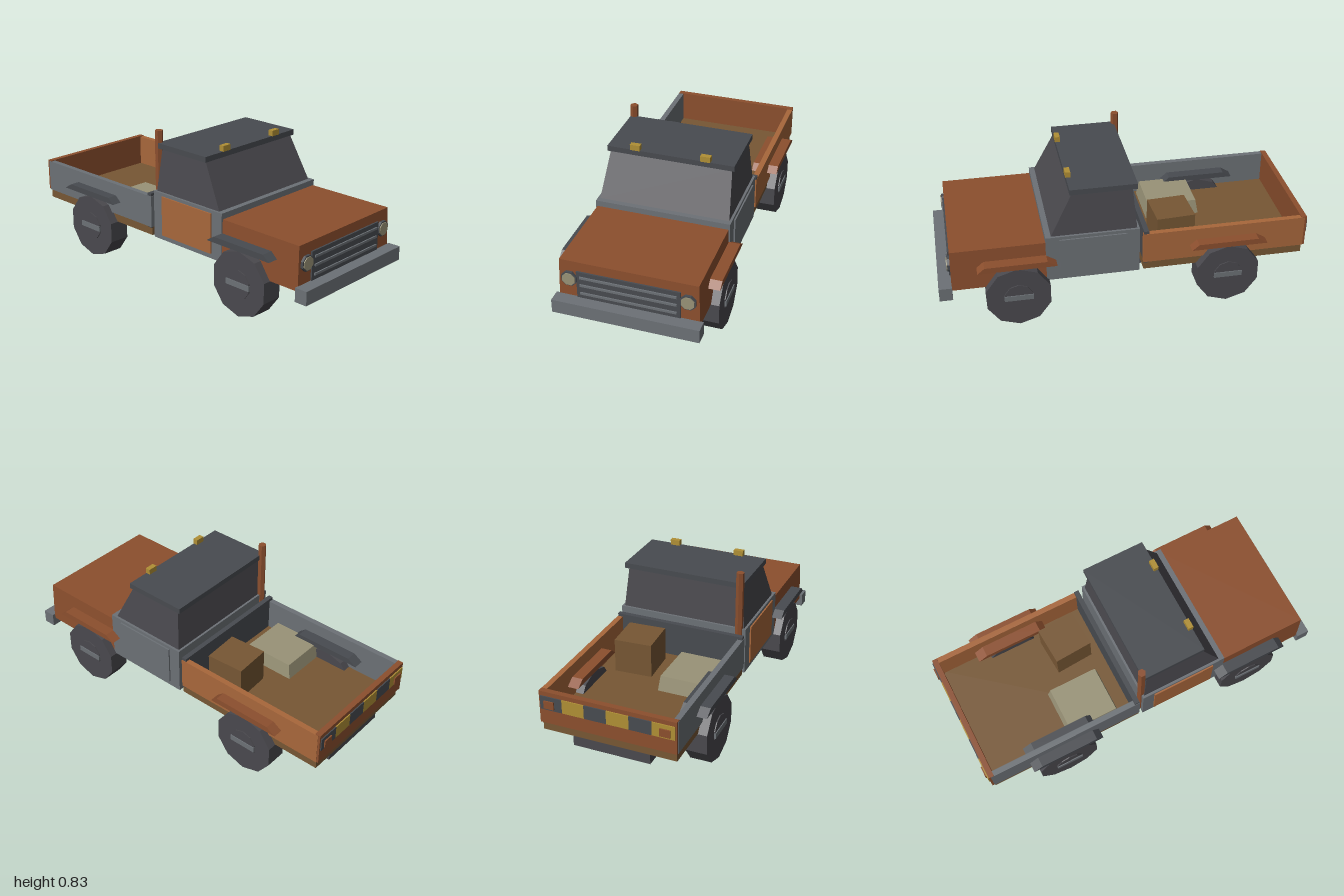
import * as THREE from 'three';

const material = (name, color) => {
  const m = new THREE.MeshStandardMaterial({ color, flatShading: true });
  m.name = name;
  return m;
};

export function createModel() {
  const truck = new THREE.Group();
  truck.name = 'pickupTruck';

  const dark = material('charcoal', 0x4a494e);
  const slate = material('slate', 0x484b50);
  const grey = material('steel grey', 0x6c7176);
  const rust = material('rust', 0x8c4f2e);
  const orange = material('faded orange', 0xa8673b);
  const brown = material('bed brown', 0x775734);
  const khaki = material('khaki', 0x999377);
  const yellow = material('amber', 0xb08f35);

  const add = (name, geometry, mat, x = 0, y = 0, z = 0) => {
    const mesh = new THREE.Mesh(geometry, mat);
    mesh.name = name;
    mesh.position.set(x, y, z);
    truck.add(mesh);
    return mesh;
  };
  // Box given by its extents on each axis
  const box = (name, mat, [x0, x1], [y0, y1], [z0, z1]) =>
    add(name, new THREE.BoxGeometry(x1 - x0, y1 - y0, z1 - z0), mat,
      (x0 + x1) / 2, (y0 + y1) / 2, (z0 + z1) / 2);
  // Tapered box: each end is [half width, back z, front z]
  const taper = (name, mat, [y0, y1], bottom, top, x = 0) => {
    const g = new THREE.BoxGeometry(2, 1, 2);
    const p = g.attributes.position;
    for (let i = 0; i < p.count; i++) {
      const [w, back, front] = p.getY(i) > 0 ? top : bottom;
      p.setXYZ(i, p.getX(i) * w, p.getY(i) > 0 ? y1 : y0, p.getZ(i) > 0 ? front : back);
    }
    g.computeVertexNormals();
    return add(name, g, mat, x);
  };
  // Cylinder lying along x or z
  const disc = (name, mat, axis, radius, length, sides, x, y, z) => {
    const g = new THREE.CylinderGeometry(radius, radius, length, sides);
    g.rotateY(Math.PI / sides);
    if (axis === 'x') g.rotateZ(Math.PI / 2);
    else g.rotateX(Math.PI / 2);
    return add(name, g, mat, x, y, z);
  };

  // Chassis and bumper
  box('chassis', dark, [-0.21, 0.21], [0.155, 0.23], [-0.95, 0.88]);
  box('frontBumper', grey, [-0.385, 0.385], [0.179, 0.254], [0.93, 1]);

  // Engine bay, grille and headlights
  taper('hood', rust, [0.227, 0.46], [0.368, 0.43, 0.932], [0.36, 0.43, 0.928]);
  box('grille', slate, [-0.27, 0.27], [0.254, 0.408], [0.92, 0.938]);
  for (const y of [0.284, 0.332, 0.378]) {
    box('grilleBar', grey, [-0.252, 0.252], [y - 0.006, y + 0.006], [0.936, 0.945]);
  }
  for (const side of [-1, 1]) {
    disc('headlightRim', slate, 'z', 0.043, 0.03, 8, side * 0.308, 0.36, 0.928);
    disc('headlight', khaki, 'z', 0.036, 0.008, 8, side * 0.308, 0.36, 0.944);
  }

  // Cab, windows and roof
  box('cab', grey, [-0.368, 0.368], [0.227, 0.492], [-0.067, 0.432]);
  taper('windows', dark, [0.49, 0.727], [0.355, -0.055, 0.403], [0.331, -0.033, 0.283]);
  box('roof', slate, [-0.346, 0.346], [0.725, 0.755], [-0.058, 0.297]);
  box('leftDoor', grey, [0.367, 0.376], [0.255, 0.475], [0, 0.36]);
  box('rightDoor', orange, [-0.376, -0.367], [0.255, 0.475], [0, 0.36]);
  for (const side of [-1, 1]) {
    box('roofLight', yellow, [side * 0.191 - 0.027, side * 0.191 + 0.027], [0.754, 0.785], [0.272, 0.3]);
  }
  add('exhaustStack', new THREE.CylinderGeometry(0.022, 0.022, 0.56, 6), rust, -0.328, 0.54, -0.062);

  // Cargo bed
  box('bedFloor', brown, [-0.362, 0.362], [0.227, 0.277], [-0.972, -0.09]);
  box('bedLeftWall', orange, [0.34, 0.37], [0.275, 0.452], [-0.975, -0.088]);
  box('bedRightWall', slate, [-0.37, -0.34], [0.275, 0.452], [-0.975, -0.088]).material = grey;
  box('headboard', slate, [-0.368, 0.368], [0.27, 0.468], [-0.117, -0.09]);
  box('tailgate', rust, [-0.368, 0.368], [0.277, 0.456], [-0.987, -0.957]);

  // Hazard stripes and tail lights
  for (let i = 0; i < 6; i++) {
    const x = 0.36 - i * 0.12;
    box('hazardStripe', i % 2 ? yellow : slate, [x - 0.12, x], [0.358, 0.432], [-0.993, -0.986]);
  }
  for (const side of [-1, 1]) {
    box('tailLight', rust, [side * 0.31 - 0.028, side * 0.31 + 0.028], [0.368, 0.41], [-1, -0.99]);
  }

  // Cargo
  const crate = box('crate', brown, [0.05, 0.257], [0.275, 0.465], [-0.39, -0.178]);
  crate.rotation.y = 0.06;
  taper('lowCrate', khaki, [0.275, 0.36], [0.139, -0.495, -0.19], [0.129, -0.48, -0.205], -0.183);

  // Fenders and wheels
  for (const side of [-1, 1]) {
    for (const z of [0.588, -0.548]) {
      taper('fender', side > 0 ? rust : slate, [0.353, 0.385],
        [0.0725, z - 0.208, z + 0.208], [0.0725, z - 0.157, z + 0.17], side * 0.3525);
      disc('tyre', dark, 'x', 0.178, 0.117, 10, side * 0.353, 0.17, z);
      disc('hub', dark, 'x', 0.079, 0.128, 10, side * 0.353, 0.17, z);
      box('hubBar', grey, [side * 0.353 - 0.069, side * 0.353 + 0.069], [0.155, 0.185], [z - 0.077, z + 0.077]);
    }
  }

  return truck;
}
